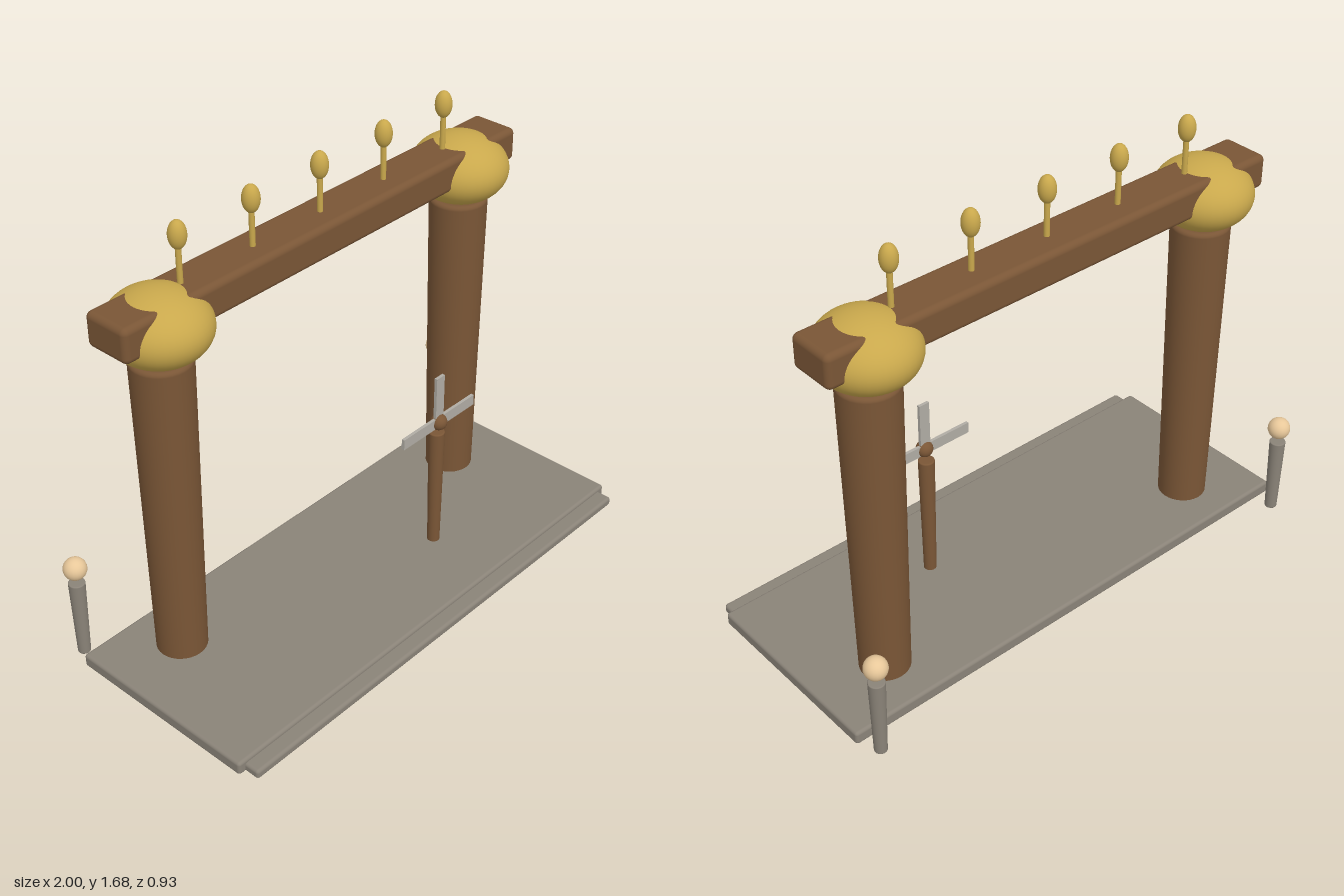
import * as THREE from 'three';
import { RoundedBoxGeometry } from 'three/addons/geometries/RoundedBoxGeometry.js';

const mat = (color) => new THREE.MeshStandardMaterial({ color });

export function createModel() {
  const model = new THREE.Group();
  const wood = mat(0x7a5636), gold = mat(0xc9a84c), stone = mat(0x8a8378);
  const blade = mat(0xb0aca4), glow = mat(0xe8c89a);

  const add = (name, geometry, material, x, y, z, parent = model) => {
    const mesh = new THREE.Mesh(geometry, material);
    mesh.name = name;
    mesh.position.set(x, y, z);
    parent.add(mesh);
    return mesh;
  };

  // Tapered round post with softened rims, standing on its local origin
  const post = (rBottom, rTop, height, bevel) => {
    const points = [new THREE.Vector2(0, 0)];
    for (let i = 0; i <= 4; i++) {
      const a = (i / 4) * Math.PI / 2;
      points.push(new THREE.Vector2(rBottom - bevel + bevel * Math.sin(a), bevel - bevel * Math.cos(a)));
    }
    for (let i = 0; i <= 4; i++) {
      const a = (i / 4) * Math.PI / 2;
      points.push(new THREE.Vector2(rTop - bevel + bevel * Math.cos(a), height - bevel + bevel * Math.sin(a)));
    }
    points.push(new THREE.Vector2(0, height));
    return new THREE.LatheGeometry(points, 32);
  };

  // Base slab and front step
  add('platform', new RoundedBoxGeometry(2, 0.052, 0.765, 3, 0.012), stone, 0, 0.035, 0.02);
  add('frontStep', new RoundedBoxGeometry(1.945, 0.036, 0.16, 3, 0.012), stone, 0, 0.028, 0.38);

  // Columns, capitals and rear lamp posts on both sides
  for (const side of [-1, 1]) {
    add('column', post(0.09, 0.107, 1.247, 0.016), wood, side * 0.725, 0.003, -0.16);
    add('capital', new THREE.SphereGeometry(1, 40, 28), gold, side * 0.725, 1.363, -0.16)
      .scale.set(0.176, 0.125, 0.181);

    const lamp = new THREE.Group();
    lamp.name = 'lampPost';
    lamp.position.set(side * 0.95, 0, -0.425);
    model.add(lamp);
    add('lampStem', post(0.023, 0.03, 0.312, 0.004), stone, 0, 0.008, 0, lamp);
    add('lampGlobe', new THREE.SphereGeometry(0.042, 24, 16), glow, 0, 0.38, 0, lamp);
  }

  // Cross beam
  add('beam', new RoundedBoxGeometry(1.866, 0.126, 0.182, 4, 0.022), wood, 0, 1.406, -0.163);

  // Row of finials along the beam
  for (let i = -2; i <= 2; i++) {
    const finial = new THREE.Group();
    finial.name = 'finial';
    finial.position.set(i * 0.3125, 1.46, -0.16);
    model.add(finial);
    add('finialStem', new THREE.CylinderGeometry(0.01, 0.01, 0.15, 16), gold, 0, 0.075, 0, finial);
    add('finialBud', new THREE.SphereGeometry(1, 24, 16), gold, 0, 0.178, 0, finial)
      .scale.set(0.031, 0.05, 0.031);
  }

  // Small pinwheel post: three blades around a round hub
  const pinwheel = new THREE.Group();
  pinwheel.name = 'pinwheel';
  pinwheel.position.set(0.3, 0, 0.12);
  model.add(pinwheel);
  add('pinwheelPost', post(0.023, 0.03, 0.515, 0.005), wood, 0, 0.04, 0, pinwheel);
  add('pinwheelHub', new THREE.SphereGeometry(0.031, 24, 16), wood, 0, 0.6, 0.008, pinwheel);
  for (const turn of [-1, 0, 1]) {
    const geometry = new THREE.BoxGeometry(0.042, 0.193, 0.012).translate(0, 0.0965, 0);
    add('pinwheelBlade', geometry, blade, 0, 0.6, 0.006, pinwheel).rotation.z = turn * Math.PI / 2;
  }

  return model;
}
